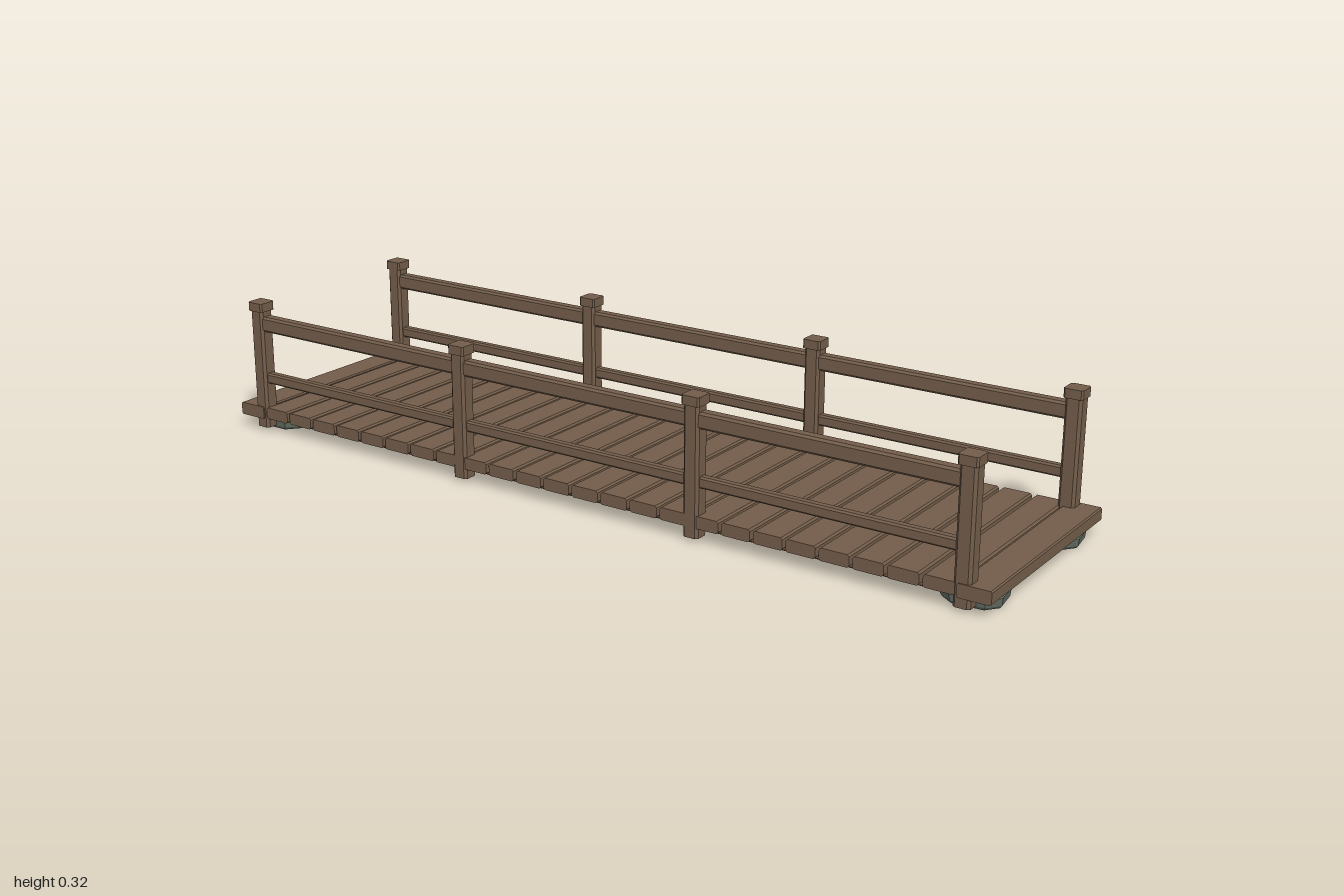
import * as THREE from 'three';

const wood = new THREE.MeshStandardMaterial({ color: 0x735d4a });
wood.name = 'brown wood';
const stone = new THREE.MeshStandardMaterial({ color: 0x5f695f });
stone.name = 'grey green stone';

// Timber with chamfered long edges, running along the given axis, centred on the origin
function timber(w, h, length, c, axis) {
  const a = w / 2, b = h / 2;
  const shape = new THREE.Shape([
    [-a + c, -b], [a - c, -b], [a, -b + c], [a, b - c],
    [a - c, b], [-a + c, b], [-a, b - c], [-a, -b + c],
  ].map(([x, y]) => new THREE.Vector2(x, y)));
  const geo = new THREE.ExtrudeGeometry(shape, { depth: length, bevelEnabled: false });
  geo.translate(0, 0, -length / 2);
  if (axis === 'x') geo.rotateY(Math.PI / 2);
  if (axis === 'y') geo.rotateX(-Math.PI / 2);
  return geo;
}

// Irregular flat footing stone with bevelled rims
function footing() {
  const rings = [[0, 0.9], [0.006, 0.97], [0.023, 1], [0.03, 0.93]];
  const outline = [[0.068, 0.02], [0.045, 0.05], [-0.03, 0.055], [-0.06, 0.035],
    [-0.068, -0.02], [-0.04, -0.053], [0.03, -0.055], [0.06, -0.035]];
  const n = outline.length, pos = [], index = [];
  for (const [y, s] of rings) for (const [x, z] of outline) pos.push(x * s, y, z * s);
  for (let r = 0; r < rings.length - 1; r++) {
    for (let i = 0; i < n; i++) {
      const a = r * n + i, b = r * n + (i + 1) % n;
      index.push(a, b, a + n, b, b + n, a + n);
    }
  }
  const top = (rings.length - 1) * n;
  for (let i = 1; i < n - 1; i++) {
    index.push(0, i + 1, i, top, top + i, top + i + 1);
  }
  const geo = new THREE.BufferGeometry();
  geo.setAttribute('position', new THREE.Float32BufferAttribute(pos, 3));
  geo.setIndex(index);
  const flat = geo.toNonIndexed();
  // Keep the faces pointing outward
  const p = flat.attributes.position;
  const v = [0, 1, 2].map(() => new THREE.Vector3());
  const centre = new THREE.Vector3(0, 0.015, 0);
  for (let i = 0; i < p.count; i += 3) {
    v.forEach((q, k) => q.fromBufferAttribute(p, i + k));
    const normal = v[1].clone().sub(v[0]).cross(v[2].clone().sub(v[0]));
    if (normal.dot(v[0].clone().sub(centre)) < 0) {
      p.setXYZ(i + 1, v[2].x, v[2].y, v[2].z);
      p.setXYZ(i + 2, v[1].x, v[1].y, v[1].z);
    }
  }
  flat.computeVertexNormals();
  return flat;
}

export function createModel() {
  const bridge = new THREE.Group();
  bridge.name = 'footbridge';
  const add = (name, geo, x, y, z, mat = wood) => {
    const mesh = new THREE.Mesh(geo, mat);
    mesh.name = name;
    mesh.position.set(x, y, z);
    bridge.add(mesh);
    return mesh;
  };

  // Deck planks, laid across with narrow gaps
  const count = 24, pitch = 1.85 / count;
  const plank = timber(pitch - 0.008, 0.028, 0.524, 0.004, 'z');
  for (let i = 0; i < count; i++) {
    add('deckPlank', plank, -0.925 + pitch * (i + 0.5), 0.045, 0);
  }

  // Wider boards closing both ends
  const endBoard = timber(0.074, 0.03, 0.534, 0.003, 'z');
  for (const s of [-1, 1]) add('endBoard', endBoard, s * 0.963, 0.045, 0);

  const beam = timber(0.035, 0.022, 1.9, 0.003, 'x');
  const post = timber(0.038, 0.038, 0.292, 0.006, 'y');
  const cap = timber(0.044, 0.044, 0.021, 0.004, 'y');
  const topRail = timber(0.03, 0.037, 1.87, 0.005, 'x');
  const lowRail = timber(0.022, 0.026, 1.87, 0.004, 'x');
  const stoneGeo = footing();

  for (const side of [-1, 1]) {
    const z = side * 0.245;
    add('supportBeam', beam, 0, 0.021, side * 0.2);

    // Railing
    for (const x of [-0.935, -0.312, 0.312, 0.935]) {
      add('railPost', post, x, 0.154, z);
      add('postCap', cap, x, 0.3095, z);
    }
    add('topRail', topRail, 0, 0.268, z);
    add('lowRail', lowRail, 0, 0.132, z);

    // Footing stones under the corners
    for (const end of [-1, 1]) {
      const foot = add('footingStone', stoneGeo, end * 0.928, 0, side * 0.184, stone);
      if (end < 0) foot.rotation.y = Math.PI;
    }
  }
  return bridge;
}
